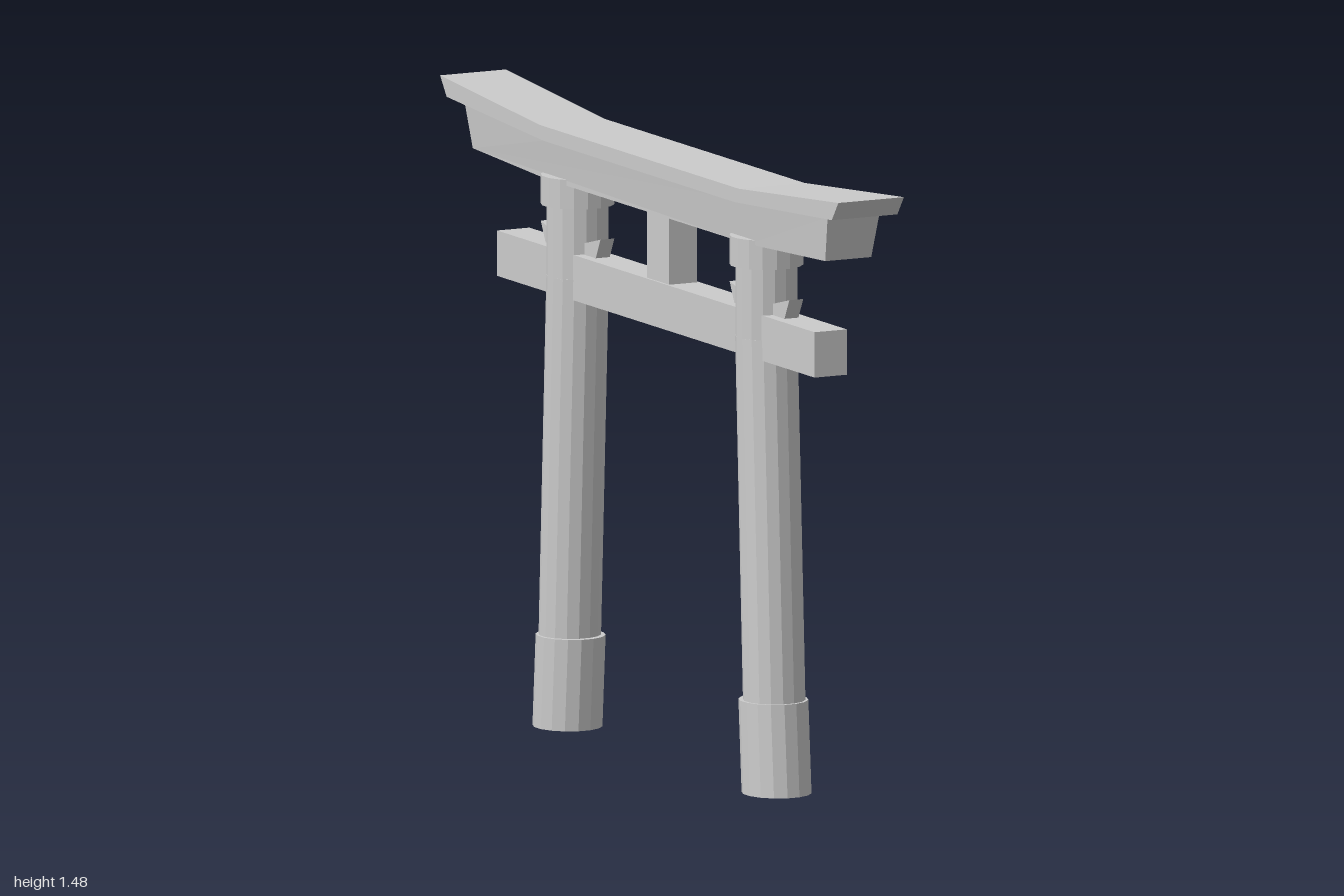
import * as THREE from 'three';

const material = new THREE.MeshStandardMaterial({ color: 0xcccccc, flatShading: true });

function add(parent, name, geometry) {
  geometry.computeVertexNormals();
  const mesh = new THREE.Mesh(geometry, material);
  mesh.name = name;
  parent.add(mesh);
  return mesh;
}

// Side profile of [z, y] points, extruded evenly to both sides in x
function profile(points, halfWidth) {
  const shape = new THREE.Shape(points.map(([z, y]) => new THREE.Vector2(z, y)));
  const g = new THREE.ExtrudeGeometry(shape, { depth: halfWidth * 2, bevelEnabled: false });
  return g.translate(0, 0, -halfWidth).rotateY(-Math.PI / 2);
}

// Profile given for +z only, bottom centre outwards to top centre, mirrored to -z
function mirrored(half) {
  return [...half, ...half.slice().reverse().map(([z, y]) => [-z, y])];
}

// 16-sided drum from y0 to y1 whose axis leans from z0 to z1
function drum(rx, rz, y0, y1, z0, z1) {
  const g = new THREE.CylinderGeometry(1, 1, 1, 16).rotateY(Math.PI / 16);
  const p = g.attributes.position;
  for (let i = 0; i < p.count; i++) {
    const t = p.getY(i) + 0.5;
    p.setXYZ(i, p.getX(i) * rx, y0 + (y1 - y0) * t, p.getZ(i) * rz + z0 + (z1 - z0) * t);
  }
  return g;
}

function box(x, y0, y1, z) {
  return new THREE.BoxGeometry(x * 2, y1 - y0, z * 2).translate(0, (y0 + y1) / 2, 0);
}

export function createModel() {
  const gate = new THREE.Group();
  gate.name = 'gate';

  // Upswept cap beam with undercut ends
  add(gate, 'topLintel', profile(mirrored([
    [0.48, 1.405], [0.967, 1.436], [1, 1.482], [0.5, 1.44],
  ]), 0.087));

  // Second lintel below it, narrowing towards its underside
  const lower = profile(mirrored([
    [0.5, 1.306], [0.885, 1.324], [0.912, 1.433], [0.48, 1.406],
  ]), 0.069);
  const p = lower.attributes.position;
  for (let i = 0; i < p.count; i++) {
    if (p.getY(i) < 1.38) p.setX(i, Math.sign(p.getX(i)) * 0.061);
  }
  add(gate, 'lowerLintel', lower);

  // Tie beam and its central strut
  add(gate, 'tieBeam', box(0.043, 1.032, 1.14, 0.797));
  add(gate, 'centreStrut', box(0.037, 1.135, 1.32, 0.056));

  // Leaning pillars, with a straight neck above the tie beam
  for (const s of [1, -1]) {
    const pillar = new THREE.Group();
    pillar.name = s > 0 ? 'frontPillar' : 'backPillar';
    gate.add(pillar);
    add(pillar, 'pillarBase', drum(0.081, 0.087, 0, 0.22, s * 0.525, s * 0.509));
    add(pillar, 'pillarShaft', drum(0.0735, 0.0745, 0.2, 1.08, s * 0.514, s * 0.474));
    add(pillar, 'pillarNeck', drum(0.0735, 0.072, 1.08, 1.26, s * 0.474, s * 0.474));
    add(pillar, 'pillarCap', drum(0.087, 0.087, 1.25, 1.32, s * 0.474, s * 0.474));

    // Wedge driven through the pillar on top of the tie beam
    const wedge = profile(mirrored([
      [0.125, 1.138], [0.15, 1.188], [0.06, 1.165],
    ]), 0.0185);
    add(pillar, 'wedge', wedge.translate(0, 0, s * 0.474));
  }

  return gate;
}
